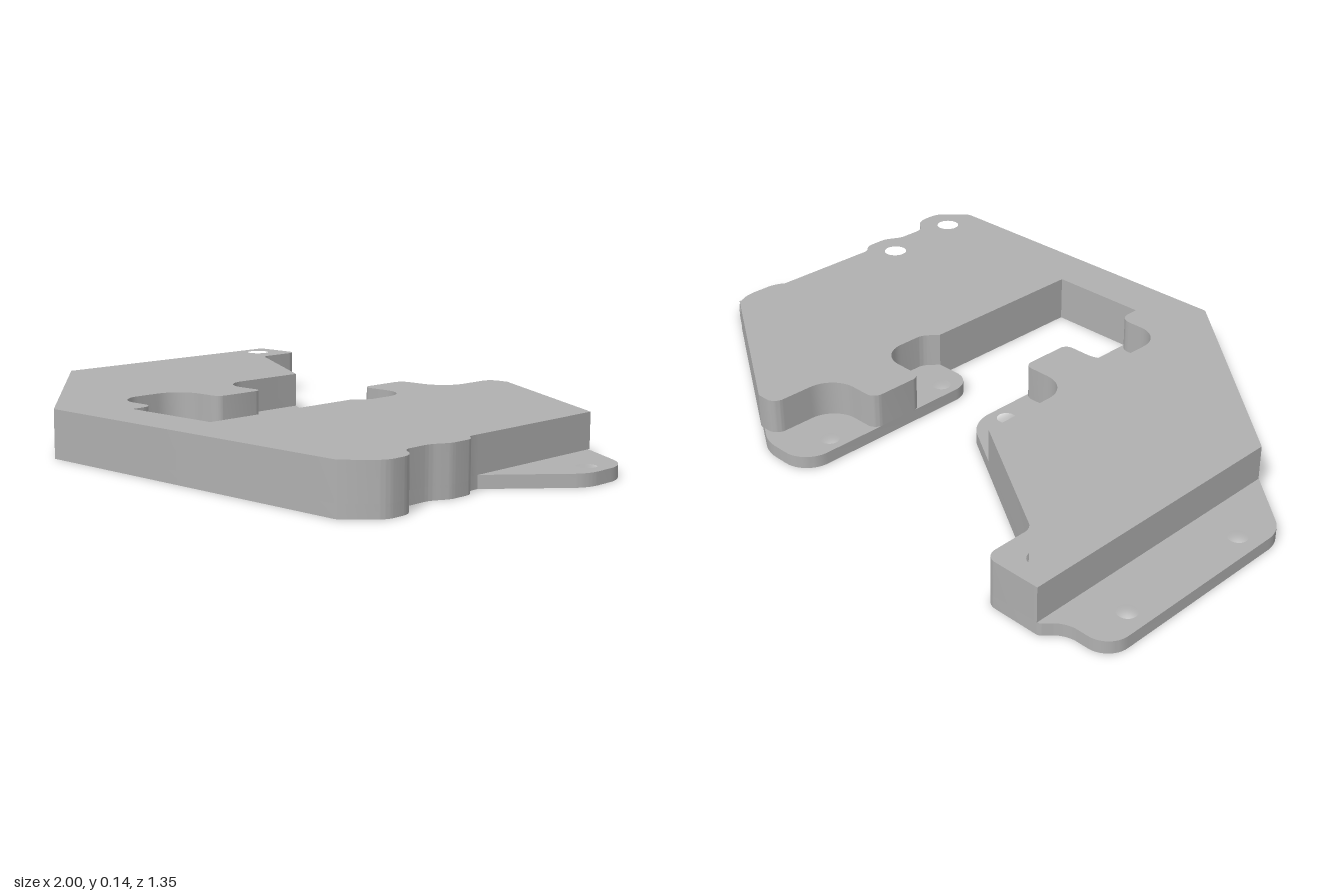
import * as THREE from 'three';
import { toCreasedNormals } from 'three/addons/utils/BufferGeometryUtils.js';

const BASE_H = 0.035, TOTAL_H = 0.135, EDGE_Z = 0.677;

// Closed outline through [x, z, cornerRadius] points with filleted corners
function filletedShape(points) {
  const shape = new THREE.Shape();
  const pts = points.map(([x, z]) => new THREE.Vector2(x, -z));
  const n = pts.length;
  points.forEach(([, , r = 0], i) => {
    const p = pts[i];
    const a = pts[(i + n - 1) % n].clone().sub(p);
    const b = pts[(i + 1) % n].clone().sub(p);
    const la = a.length(), lb = b.length();
    a.normalize();
    b.normalize();
    const turn = Math.PI - Math.acos(THREE.MathUtils.clamp(a.dot(b), -1, 1));
    const t = Math.min(r * Math.tan(turn / 2), la * 0.5, lb * 0.5);
    const start = p.clone().addScaledVector(a, t);
    if (i === 0) shape.moveTo(start.x, start.y);
    else shape.lineTo(start.x, start.y);
    if (t < 1e-4) return;
    const h = t - (4 / 3) * Math.tan(turn / 4) * (t / Math.tan(turn / 2));
    const c1 = p.clone().addScaledVector(a, h);
    const c2 = p.clone().addScaledVector(b, h);
    const end = p.clone().addScaledVector(b, t);
    shape.bezierCurveTo(c1.x, c1.y, c2.x, c2.y, end.x, end.y);
  });
  shape.closePath();
  return shape;
}

// Flat plate lying in the ground plane from y0 to y1, with round holes
function plate(name, outline, holes, radius, y0, y1, material) {
  const shape = filletedShape(outline);
  for (const [x, z, r = radius] of holes) {
    shape.holes.push(new THREE.Path().absarc(x, -z, r, 0, Math.PI * 2, true));
  }
  let geometry = new THREE.ExtrudeGeometry(shape, {
    depth: y1 - y0, bevelEnabled: false, curveSegments: 12,
  });
  geometry.rotateX(-Math.PI / 2);
  geometry.translate(0, y0, 0);
  geometry = toCreasedNormals(geometry, 0.6);
  const mesh = new THREE.Mesh(geometry, material);
  mesh.name = name;
  return mesh;
}

export function createModel() {
  const grey = new THREE.MeshStandardMaterial({ color: 0xb0b0b0 });
  grey.name = 'plain grey';

  // Edges shared by both layers
  const tab = [
    [-0.65, -EDGE_Z, 0.035], [-0.65, -0.52, 0.04],
  ];
  const slotFloor = [[-0.085, 0.53], [0.22, 0.53]];
  const lobes = [
    [0.815, 0.2], [0.815, 0.235, 0.03], [0.842, 0.26, 0.04],
    [0.842, 0.335, 0.06], [0.815, 0.385, 0.07], [0.815, 0.475, 0.04],
    [0.872, 0.515, 0.07], [0.872, 0.6, 0.06], [0.79, EDGE_Z, 0.02],
    [-0.235, EDGE_Z],
  ];

  // Thin base with mounting flanges
  const baseOutline = [
    [-1, 0.013, 0.1], [-1, -0.63, 0.1], [-0.87, -0.63, 0.1],
    [-0.825, -EDGE_Z, 0.02],
    ...tab,
    [-0.085, -0.165, 0.12],
    ...slotFloor,
    [0.22, 0], [0.08, 0, 0.07], [0.08, -0.63, 0.11],
    [0.24, -0.63, 0.13], [1, -0.163, 0.12], [1, -0.003, 0.1],
    ...lobes,
  ];

  // Thick upper block, scalloped around the inner flange holes
  const blockOutline = [
    [-0.82, 0.168], [-0.82, -EDGE_Z],
    ...tab,
    [-0.26, -0.275], [-0.26, 0.045, 0.125], [-0.085, 0.045, 0.025],
    [-0.085, 0.217, 0.025], [-0.25, 0.217, 0.119], [-0.25, 0.455, 0.119],
    [-0.085, 0.455, 0.04],
    ...slotFloor,
    [0.22, 0], [0.255, -0.04, 0.05], [0.255, -0.205, 0.125],
    [0.08, -0.205, 0.03], [0.08, -0.38, 0.03], [0.25, -0.38, 0.12],
    [0.25, -0.592, 0.045], [0.316, -0.592, 0.02], [0.815, -0.283],
    ...lobes,
  ];

  const flangeHoles = [
    [-0.94, -0.5], [-0.94, -0.08], [-0.135, -0.08], [-0.135, 0.335],
    [0.13, -0.5], [0.13, -0.08], [0.94, -0.08],
  ];
  const blockHoles = [[-0.75, -0.59], [0.75, 0.3], [0.78, 0.565]];

  const group = new THREE.Group();
  group.name = 'mountingBracket';
  group.add(
    plate('basePlate', baseOutline, [...flangeHoles, ...blockHoles], 0.027, 0, BASE_H, grey),
    plate('upperBlock', blockOutline, blockHoles, 0.035, BASE_H, TOTAL_H, grey),
  );
  return group;
}
